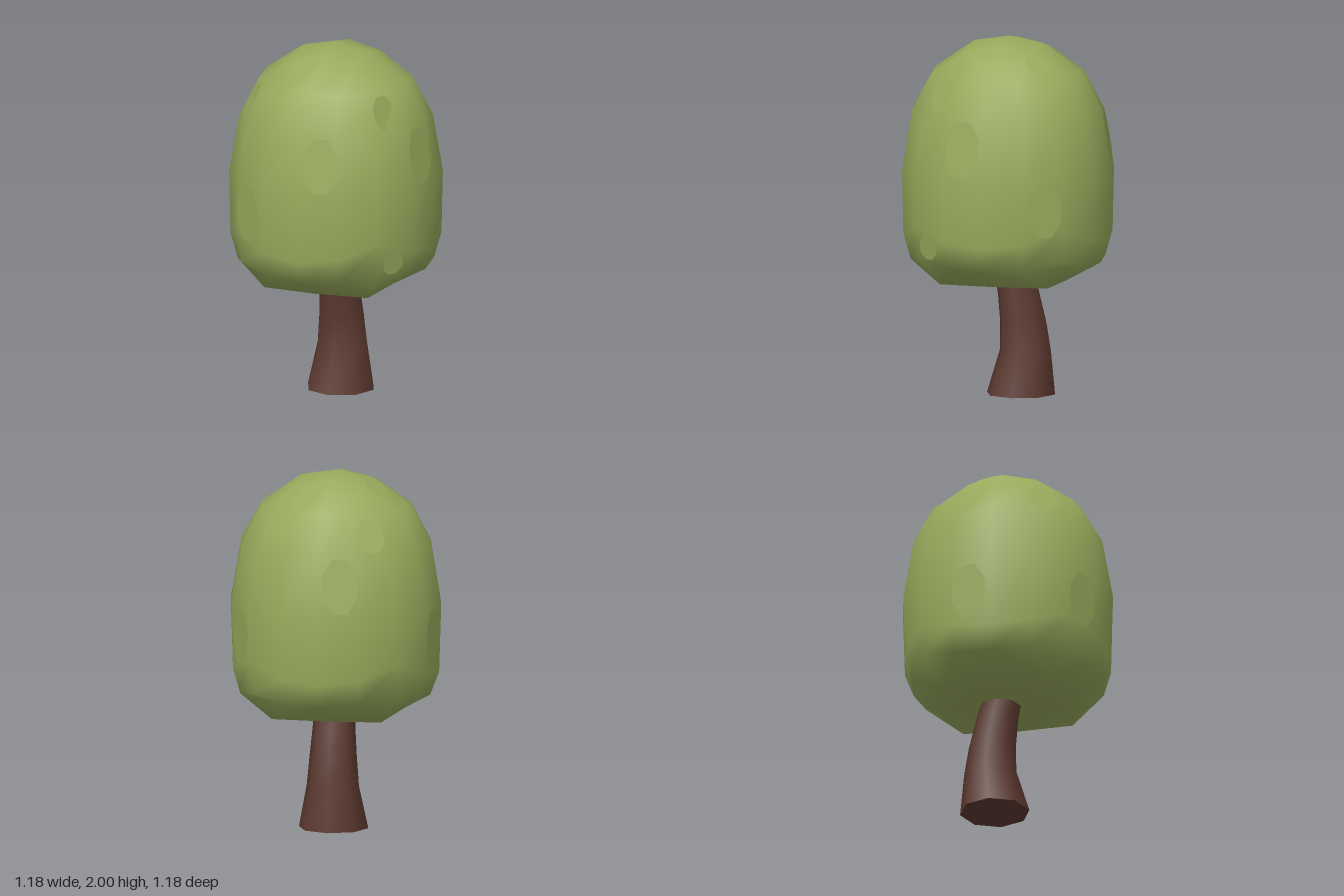
import * as THREE from 'three';
import { mergeVertices } from 'three/addons/utils/BufferGeometryUtils.js';

// Linear lookup in rows of [key, a, b, ...], keys ascending
function lookup(rows, key) {
  let i = 1;
  while (i < rows.length - 1 && key > rows[i][0]) i++;
  const a = rows[i - 1], b = rows[i];
  const t = THREE.MathUtils.clamp((key - a[0]) / (b[0] - a[0]), 0, 1);
  return a.slice(1).map((v, k) => THREE.MathUtils.lerp(v, b[k + 1], t));
}

// Rounded cube: [height on the unit sphere, y, radius scale]
const crownRows = [
  [-1, 0.64, 0.86], [-0.86, 0.64, 0.86], [-0.707, 0.75, 0.75], [-0.383, 0.88, 0.628],
  [0, 1.26, 0.592], [0.383, 1.61, 0.574], [0.707, 1.82, 0.58], [0.924, 1.97, 0.5], [1, 2, 0.5],
];

function crownGeometry() {
  const box = new THREE.BoxGeometry(2, 2, 2, 4, 4, 4);
  box.deleteAttribute('normal');
  box.deleteAttribute('uv');
  const geo = mergeVertices(box);
  const pos = geo.attributes.position;
  const p = new THREE.Vector3();
  const warp = (v) => Math.tan(v * Math.PI / 4);
  for (let i = 0; i < pos.count; i++) {
    p.fromBufferAttribute(pos, i);
    p.set(warp(p.x), warp(p.y), warp(p.z)).normalize();
    const [y, r] = lookup(crownRows, p.y);
    pos.setXYZ(i, p.x * r, y, p.z * r);
  }
  geo.computeVertexNormals();
  return geo;
}

// Trunk: [height, radius, z of the centre]
const trunkRows = [
  [0, 0.195, -0.075], [0.24, 0.147, -0.1], [0.4, 0.133, -0.088],
  [0.56, 0.12, -0.062], [0.8, 0.11, -0.01],
];

function trunkGeometry() {
  const last = trunkRows.length - 1;
  const geo = new THREE.CylinderGeometry(1, 1, 1, 8, last);
  const pos = geo.attributes.position;
  for (let i = 0; i < pos.count; i++) {
    const [y, r, z] = trunkRows[Math.round((pos.getY(i) + 0.5) * last)];
    pos.setXYZ(i, pos.getX(i) * r, y, pos.getZ(i) * r + z);
  }
  geo.computeVertexNormals();
  // Close the shading seam where the wall starts and ends
  const n = geo.attributes.normal;
  for (let row = 0; row <= last; row++) {
    const a = row * 9, b = a + 8;
    const m = new THREE.Vector3().fromBufferAttribute(n, a)
      .add(new THREE.Vector3().fromBufferAttribute(n, b)).normalize();
    n.setXYZ(a, m.x, m.y, m.z);
    n.setXYZ(b, m.x, m.y, m.z);
  }
  return geo;
}

// Leaf patches: x, y, z near the surface, width, height
const patches = [
  [0.12, 1.44, 0.56, 0.21, 0.33], [-0.34, 1.10, 0.48, 0.21, 0.33],
  [0.56, 1.44, 0.12, 0.21, 0.33], [0.48, 1.10, -0.34, 0.21, 0.33],
  [-0.12, 1.44, -0.56, 0.21, 0.33], [-0.57, 1.10, -0.12, 0.21, 0.33],
  [-0.41, 1.71, 0.28, 0.16, 0.21], [0.41, 1.71, 0.28, 0.16, 0.21],
  [-0.28, 1.71, -0.42, 0.16, 0.21], [0.48, 0.86, 0.34, 0.14, 0.14],
  [-0.09, 1.93, 0.26, 0.16, 0.15], [0.25, 1.90, -0.25, 0.13, 0.15],
  [-0.26, 1.94, -0.09, 0.15, 0.16],
];

export function createModel() {
  const model = new THREE.Group();
  model.name = 'tree';
  const leaf = new THREE.MeshStandardMaterial({ color: 0x98aa5c });
  leaf.name = 'leaf green';
  const bark = new THREE.MeshStandardMaterial({ color: 0x5c3930 });
  bark.name = 'bark brown';

  const trunk = new THREE.Mesh(trunkGeometry(), bark);
  trunk.name = 'trunk';
  const crown = new THREE.Mesh(crownGeometry(), leaf);
  crown.name = 'crown';
  model.add(trunk, crown);

  // Flat octagons resting just above the crown
  const octagon = new THREE.CircleGeometry(0.5, 8, Math.PI / 8);
  const ray = new THREE.Raycaster();
  crown.updateMatrixWorld();
  patches.forEach(([x, y, z, w, h]) => {
    const target = new THREE.Vector3(x, y, z);
    const inward = new THREE.Vector3(0, 1.25, 0).lerp(new THREE.Vector3(0, y, 0), 0.6)
      .sub(target).normalize();
    ray.set(target.clone().addScaledVector(inward, -0.5), inward);
    const hit = ray.intersectObject(crown)[0];
    if (!hit) return;
    const patch = new THREE.Mesh(octagon, leaf);
    patch.name = 'leafPatch';
    patch.position.copy(hit.point).addScaledVector(hit.face.normal, 0.005);
    patch.lookAt(patch.position.clone().add(hit.face.normal));
    patch.scale.set(w, h, 1);
    model.add(patch);
  });
  return model;
}
